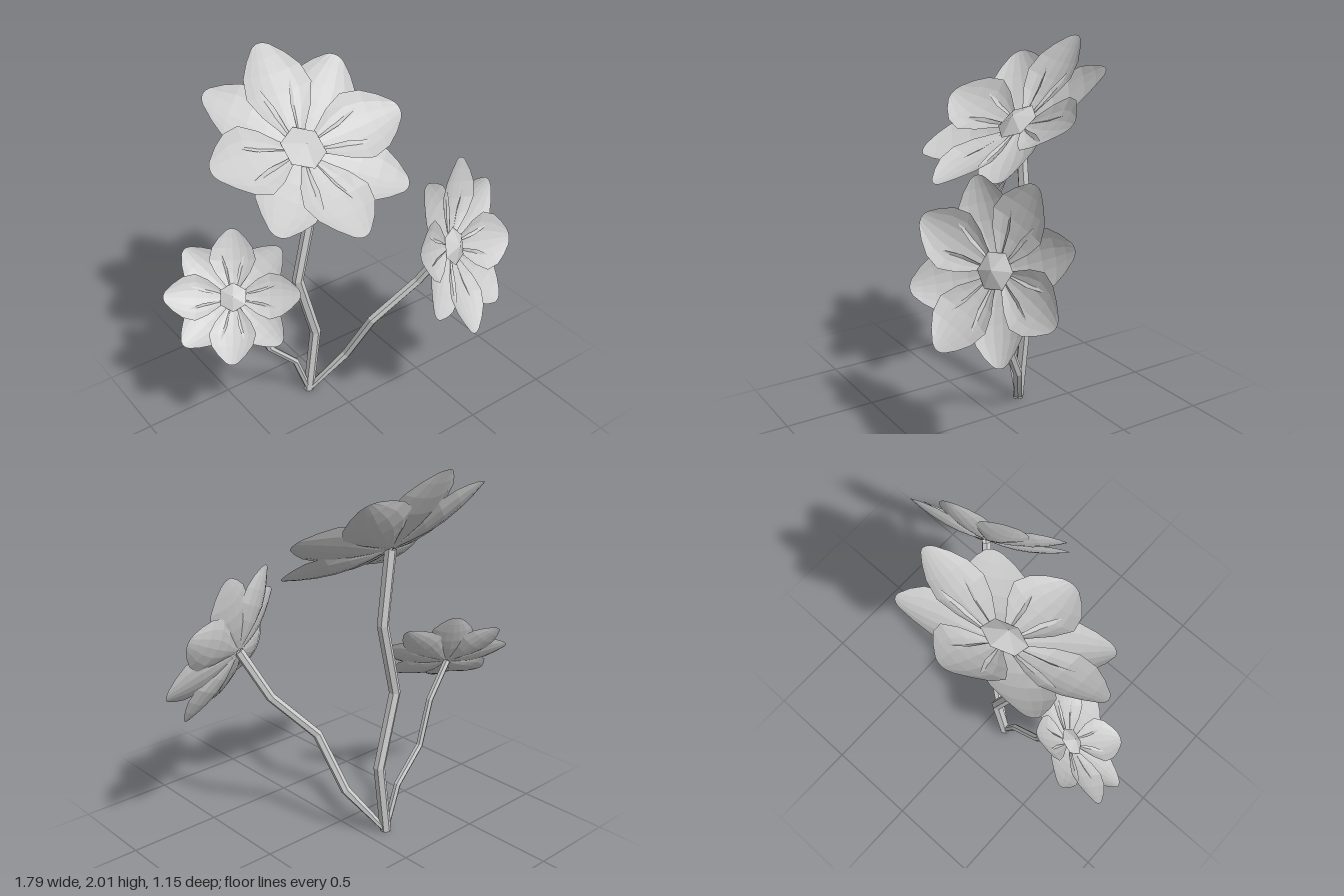
import * as THREE from 'three';

const material = new THREE.MeshStandardMaterial({ color: 0xcccccc, flatShading: true, side: THREE.DoubleSide });

// Straight-sided path, sampled exactly at its bends
class BentPath extends THREE.Curve {
  constructor(points) { super(); this.points = points; }
  getUtoTmapping(u) { return u; }
  getPoint(t, target = new THREE.Vector3()) {
    const n = this.points.length - 1;
    const i = Math.min(Math.floor(t * n + 1e-9), n - 1);
    return target.lerpVectors(this.points[i], this.points[i + 1], t * n - i);
  }
}

function add(parent, geometry, name) {
  const mesh = new THREE.Mesh(geometry, material);
  mesh.name = name;
  parent.add(mesh);
  return mesh;
}

// Petal outline: [distance from the centre, half width]
const OUTLINE = [[0.02, 0.015], [0.11, 0.07], [0.2, 0.135], [0.3, 0.178], [0.4, 0.155], [0.48, 0.105], [0.55, 0.05]];

// Cupped petal running along -z and rising towards its tip
function petalGeometry(widen, sag, tipDrop) {
  const rows = OUTLINE.length - 1;
  const geometry = new THREE.PlaneGeometry(2, 1, 6, rows);
  const pos = geometry.attributes.position;
  for (let i = 0; i < pos.count; i++) {
    const v = pos.getX(i), t = pos.getY(i) + 0.5;
    const [r, half] = OUTLINE[Math.round(t * rows)];
    const reach = r - 0.02 * v * v * t ** 4;
    const arch = Math.sin(Math.PI * t);
    const height = 0.127 * (r / 0.55) ** 2 + (0.05 * v * v - sag) * arch - tipDrop * t;
    pos.setXYZ(i, v * half * widen, height, -reach);
  }
  geometry.computeVertexNormals();
  return geometry;
}

const upperPetal = petalGeometry(1.06, 0, 0);
const lowerPetal = petalGeometry(1, 0.008, 0.03);

// Six-sided button with a low pointed top
const buttonGeometry = new THREE.LatheGeometry(
  [[0.03, 0.005], [0.12, 0.028], [0, 0.072]].map(([x, y]) => new THREE.Vector2(x, y)), 6);

function makeFlower({ name, centre, facing, radius, spin }) {
  const flower = new THREE.Group();
  flower.name = name;
  for (let i = 0; i < 8; i++) {
    const upper = i % 2 === 0;
    const petal = add(flower, upper ? upperPetal : lowerPetal, upper ? 'upperPetal' : 'lowerPetal');
    petal.rotation.y = i * Math.PI / 4 + spin;
  }
  add(flower, buttonGeometry, 'flowerCentre').rotation.y = spin;

  // Turn the flower's axis to the direction it faces
  const y = new THREE.Vector3(...facing).normalize();
  const x = new THREE.Vector3(0, 1, 0).cross(y).normalize();
  const z = new THREE.Vector3().crossVectors(x, y);
  flower.quaternion.setFromRotationMatrix(new THREE.Matrix4().makeBasis(x, y, z));
  flower.position.set(...centre);
  flower.scale.setScalar(radius / 0.55);
  return flower;
}

// Six-sided bent stem, cut flat at the ground; lean is the z gained per unit of height
function stemGeometry(bends, thickness, lean) {
  const points = bends.map(([x, y]) => new THREE.Vector3(x, y, -0.233 + y * lean));
  const geometry = new THREE.TubeGeometry(new BentPath(points), points.length - 1, thickness, 6);
  const pos = geometry.attributes.position;
  for (let i = 0; i < pos.count; i++) {
    if (pos.getY(i) < 0.1) pos.setY(i, 0);
  }
  geometry.computeVertexNormals();
  return geometry;
}

export function createModel() {
  const model = new THREE.Group();
  model.name = 'flowers';

  const plants = [
    {
      name: 'middleFlower', centre: [-0.115, 1.57, -0.23], facing: [0, 0.787, 0.616], radius: 0.55, spin: 0,
      bends: [[-0.115, 0], [-0.06, 0.4], [-0.165, 0.8], [-0.07, 1.19], [-0.115, 1.575]], thickness: 0.031, lean: 0,
    },
    {
      name: 'leftFlower', centre: [0.454, 1.042, 0.27], facing: [0.36, 0.36, 0.86], radius: 0.453, spin: -Math.PI / 8,
      bends: [[-0.115, 0], [0.065, 0.26], [0.135, 0.56], [0.35, 0.8], [0.454, 1.045]], thickness: 0.026, lean: 0.477,
    },
    {
      name: 'rightFlower', centre: [-0.562, 0.866, -0.227], facing: [-0.42, 0.68, 0.6], radius: 0.345, spin: 0,
      bends: [[-0.115, 0], [-0.2, 0.25], [-0.365, 0.43], [-0.435, 0.68], [-0.562, 0.87]], thickness: 0.019, lean: 0,
    },
  ];

  for (const plant of plants) {
    model.add(makeFlower(plant));
    add(model, stemGeometry(plant.bends, plant.thickness, plant.lean), plant.name.replace('Flower', 'Stem'));
  }

  // Flat cut where the stems meet the ground
  const foot = add(model, new THREE.CircleGeometry(0.03, 6), 'stemFoot');
  foot.rotation.x = Math.PI / 2;
  foot.position.set(-0.115, 0, -0.233);
  return model;
}
